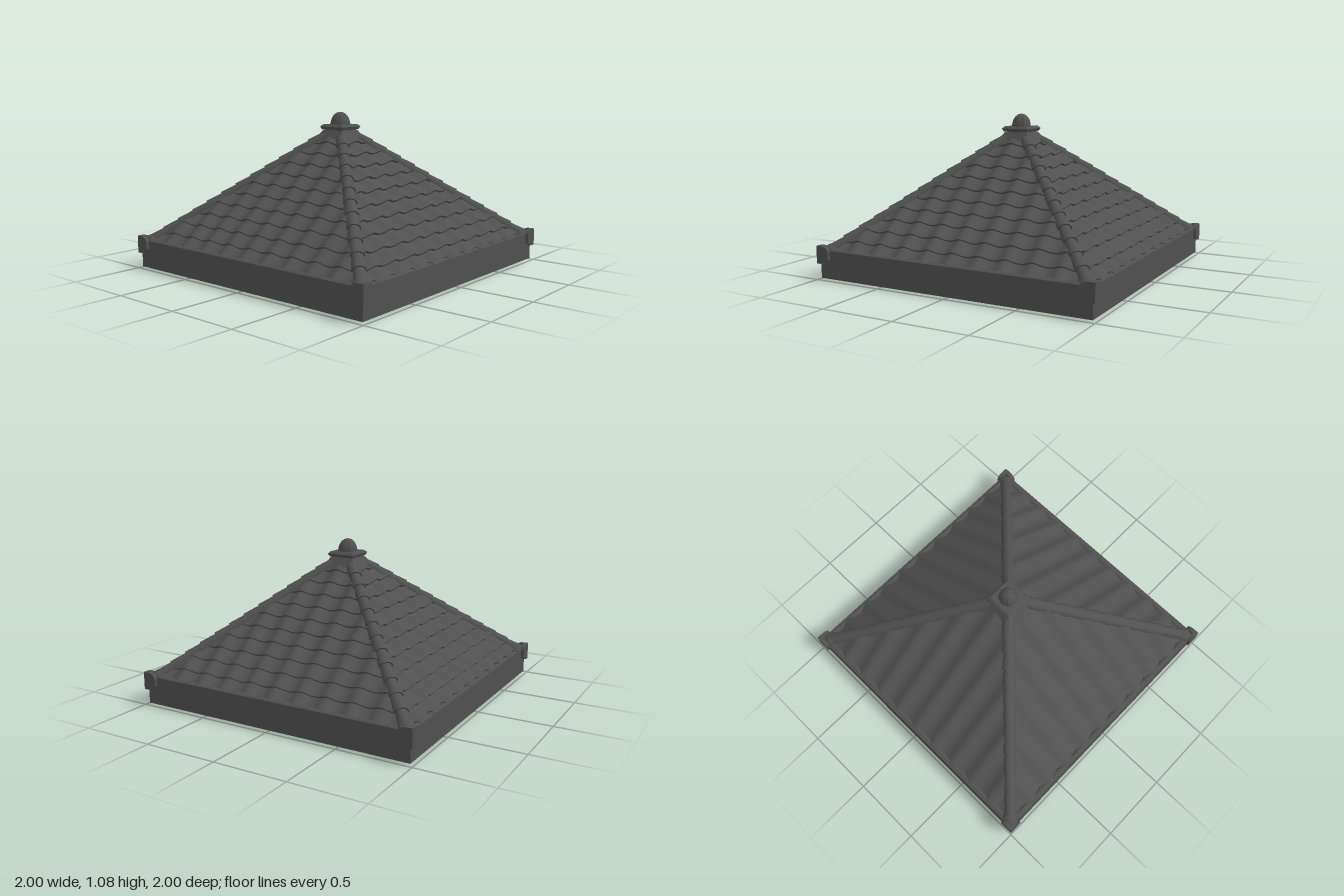
import * as THREE from 'three';

const tileGrey = new THREE.MeshStandardMaterial({ color: 0x505050, side: THREE.DoubleSide });
tileGrey.name = 'slate grey';
const timber = new THREE.MeshStandardMaterial({ color: 0x3a2e28 });
timber.name = 'dark timber';

const EAVE = 0.95, ROWS = 11, STEP = 0.082, PITCH = 0.185;
const roofY = d => 0.97 - 0.84 * d;

function add(parent, geometry, name, material = tileGrey) {
  const mesh = new THREE.Mesh(geometry, material);
  mesh.name = name;
  parent.add(mesh);
  return mesh;
}

// Square ring lying flat, from y0 to y1
function ring(outer, inner, y0, y1) {
  const square = (T, r) => new T([[-r, -r], [r, -r], [r, r], [-r, r]].map(p => new THREE.Vector2(...p)));
  const shape = square(THREE.Shape, outer);
  shape.holes.push(square(THREE.Path, inner));
  return new THREE.ExtrudeGeometry(shape, { depth: y1 - y0, bevelEnabled: false })
    .rotateX(-Math.PI / 2).translate(0, y0, 0);
}

// One triangular slope of overlapping rolled tile courses
function tileSlope() {
  const pos = [], index = [];
  const roll = x => 0.026 * Math.pow(0.5 + 0.5 * Math.cos(2 * Math.PI * x / PITCH), 1.3) - 0.006;
  const strip = (edgeA, edgeB) => {
    const n = 104, base = pos.length / 3;
    for (const [d, lift] of [edgeA, edgeB]) {
      for (let j = 0; j <= n; j++) {
        const x = THREE.MathUtils.clamp((j / n * 2 - 1) * EAVE, -d, d);
        const h = roll(x) + lift;
        pos.push(x, roofY(d) + h * 0.77, d + h * 0.64);
      }
    }
    for (let j = 0; j < n; j++) {
      if (Math.abs((j + 0.5) / n * 2 - 1) * EAVE > edgeA[0] + 0.01) continue;
      const a = base + j, b = a + n + 1;
      index.push(a, a + 1, b, a + 1, b + 1, b);
    }
  };
  for (let i = 0; i < ROWS; i++) {
    const low = EAVE - i * STEP, high = Math.max(low - STEP - 0.008, 0.02);
    strip([low, 0.016], [high, 0]);
    strip([low, -0.002], [low, 0.016]);
  }
  const g = new THREE.BufferGeometry();
  g.setAttribute('position', new THREE.Float32BufferAttribute(pos, 3));
  g.setIndex(index);
  g.computeVertexNormals();
  return g;
}

// Hip ridge running from the front left corner to the apex
function hipRidge() {
  const group = new THREE.Group();
  group.name = 'hipRidge';
  const at = d => new THREE.Vector3(d, roofY(d), d);
  const n = 12, from = 0.925, to = 0.07;
  const up = at(to).sub(at(from)).normalize();
  const across = new THREE.Vector3(1, 0, -1).normalize();
  const out = across.clone().cross(up);
  const length = at(from).distanceTo(at(to)) / n;
  const cap = new THREE.CylinderGeometry(0.036, 0.046, length * 1.12, 8, 1, true, -Math.PI / 2, Math.PI);
  const lip = new THREE.RingGeometry(0.034, 0.046, 8, 1, 0, Math.PI).rotateX(Math.PI / 2)
    .translate(0, -length * 0.56, 0);
  for (let i = 0; i < n; i++) {
    const piece = new THREE.Group();
    piece.name = 'ridgeTile';
    add(piece, cap, 'ridgeTileShell');
    add(piece, lip, 'ridgeTileLip');
    piece.quaternion.setFromRotationMatrix(new THREE.Matrix4().makeBasis(across, up, out));
    piece.position.copy(at(THREE.MathUtils.lerp(from, to, (i + 0.5) / n)));
    group.add(piece);
  }
  return group;
}

// Corner cap wrapping both faces of the eave
function cornerCap() {
  const group = new THREE.Group();
  group.name = 'cornerCap';
  const s = new THREE.Shape();
  s.moveTo(1, 0.11);
  s.lineTo(1, 0.23);
  s.lineTo(0.95, 0.23);
  s.quadraticCurveTo(0.91, 0.22, 0.905, 0.19);
  s.lineTo(0.905, 0.14);
  s.quadraticCurveTo(0.93, 0.12, 0.97, 0.11);
  const plate = new THREE.ExtrudeGeometry(s, { depth: 0.03, bevelEnabled: false, curveSegments: 5 })
    .translate(0, 0, 0.97);
  add(group, plate, 'cornerPlate');
  // Mirror across the diagonal by turning and flipping
  const other = add(group, plate, 'cornerPlate');
  other.rotation.y = Math.PI / 2;
  other.scale.x = -1;
  const dome = add(group, new THREE.SphereGeometry(0.06, 10, 5, 0, Math.PI * 2, 0, Math.PI / 2), 'cornerDome');
  dome.position.set(0.925, 0.18, 0.925);
  return group;
}

// Capping tiles along the top of one eave board
function eaveTrim() {
  const group = new THREE.Group();
  group.name = 'eaveTrim';
  const half = (r, len) => new THREE.CylinderGeometry(r, r, len, 8, 1, false, -Math.PI / 2, Math.PI)
    .rotateZ(Math.PI / 2).rotateX(-Math.PI / 2);
  const bar = add(group, half(0.022, 1.86), 'eaveRoll');
  bar.position.set(0, 0.185, 0.955);
  const collar = half(0.027, 0.014);
  for (let i = -5; i < 5; i++) {
    add(group, collar, 'eaveCollar').position.set((i + 0.5) * PITCH, 0.185, 0.953);
  }
  return group;
}

// Square block with sloping sides
function frustum(top, bottom, y0, y1) {
  const k = Math.SQRT2;
  return new THREE.CylinderGeometry(top * k, bottom * k, y1 - y0, 4).rotateY(Math.PI / 4)
    .toNonIndexed().translate(0, (y0 + y1) / 2, 0);
}

function finial() {
  const group = new THREE.Group();
  group.name = 'finial';
  const blocks = [[0.085, 0.12, 0.9, 0.955], [0.075, 0.075, 0.95, 0.975],
    [0.1, 0.09, 0.96, 0.98], [0.085, 0.1, 0.98, 0.995]];
  for (const b of blocks) {
    const g = frustum(...b);
    g.computeVertexNormals();
    add(group, g, 'finialBase');
  }
  const profile = [[0.062, 0.99], [0.064, 1.01], [0.055, 1.04], [0.036, 1.065], [0.015, 1.078], [0, 1.08]];
  add(group, new THREE.LatheGeometry(profile.map(p => new THREE.Vector2(...p)), 12), 'finialDome');
  // Two crossed ribs over the dome
  for (const turn of [0, Math.PI / 2]) {
    const arch = add(group, new THREE.TorusGeometry(0.058, 0.01, 6, 14, Math.PI), 'finialRib');
    arch.scale.y = 1.25;
    arch.position.y = 0.996;
    arch.rotation.y = turn + Math.PI / 4;
  }
  return group;
}

export function createModel() {
  const roof = new THREE.Group();
  roof.name = 'pyramidRoof';
  add(roof, ring(0.98, 0.94, 0.01, 0.2), 'eaveBoard');
  add(roof, ring(0.93, 0.88, 0, 0.05), 'timberFrame', timber);
  add(roof, ring(0.945, 0.91, 0.04, 0.1), 'timberLedge', timber);

  const slope = tileSlope();
  for (let i = 0; i < 4; i++) {
    const side = new THREE.Group();
    side.name = 'roofSide';
    add(side, slope, 'tileSlope');
    side.add(hipRidge(), cornerCap(), eaveTrim());
    side.rotation.y = i * Math.PI / 2;
    roof.add(side);
  }
  roof.add(finial());
  return roof;
}
